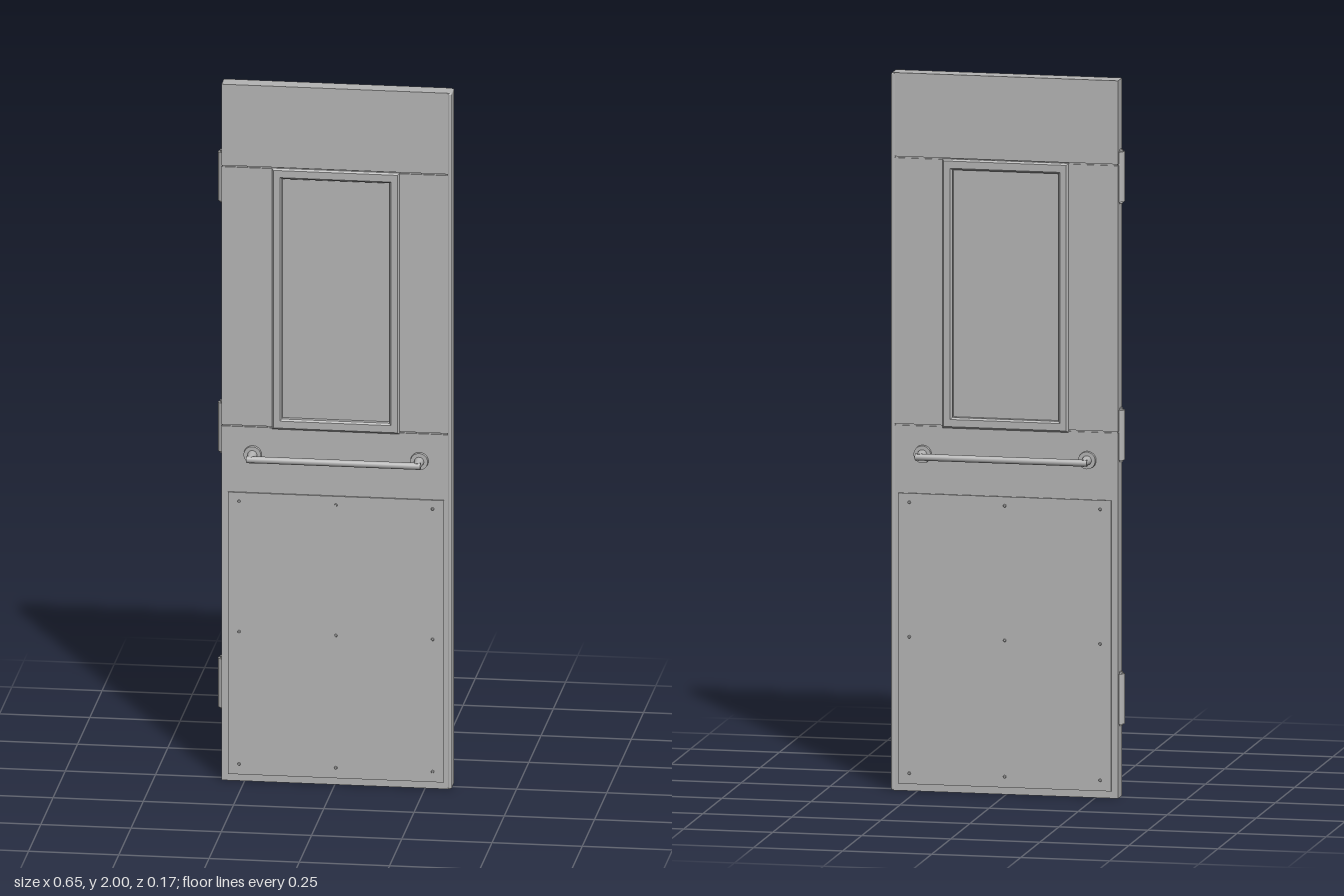
import * as THREE from 'three';
import { RoundedBoxGeometry } from 'three/addons/geometries/RoundedBoxGeometry.js';

const steel = new THREE.MeshStandardMaterial({ color: 0xb4b4b4 });
steel.name = 'painted steel';

function add(parent, name, geometry, x = 0, y = 0, z = 0) {
  const mesh = new THREE.Mesh(geometry, steel);
  mesh.name = name;
  mesh.position.set(x, y, z);
  parent.add(mesh);
  return mesh;
}

// box given by its limits
function slab(parent, name, x0, x1, y0, y1, z0, z1) {
  return add(parent, name, new THREE.BoxGeometry(x1 - x0, y1 - y0, z1 - z0),
    (x0 + x1) / 2, (y0 + y1) / 2, (z0 + z1) / 2);
}

// cylinder running along z from z0 to z1
function stud(parent, name, x, y, z0, z1, r0, r1 = r0, sides = 24) {
  const g = new THREE.CylinderGeometry(r1, r0, z1 - z0, sides).rotateX(Math.PI / 2);
  return add(parent, name, g, x, y, (z0 + z1) / 2);
}

// rectangular window frame with a bevelled edge, through the whole door
function windowFrame() {
  const b = 0.005;
  const rect = (shape, w, h) => shape.moveTo(-w, -h).lineTo(w, -h).lineTo(w, h).lineTo(-w, h).closePath();
  const shape = rect(new THREE.Shape(), 0.177 - b, 0.375 - b);
  shape.holes.push(rect(new THREE.Path(), 0.149 + b, 0.345 + b));
  return new THREE.ExtrudeGeometry(shape, {
    depth: 0.062 - 2 * b, bevelEnabled: true, bevelSize: b, bevelThickness: b, bevelSegments: 1,
  }).translate(0, 0, -0.031 + b);
}

// everything mounted on one face: kick plate, screws and pull handle
function faceFittings(name) {
  const face = new THREE.Group();
  face.name = name;
  slab(face, 'kickPlate', -0.299, 0.299, 0.02, 0.83, 0.024, 0.03);
  for (const x of [-0.268, 0, 0.268])
    for (const y of [0.05, 0.43, 0.805]) stud(face, 'screw', x, y, 0.029, 0.0325, 0.005, 0.003, 12);

  const handle = new THREE.Group();
  handle.name = 'pullHandle';
  handle.position.y = 0.94;
  face.add(handle);
  for (const s of [-1, 1]) {
    stud(handle, 'handleRose', s * 0.231, 0, 0.024, 0.034, 0.025, 0.024, 32);
    stud(handle, 'handlePost', s * 0.231, 0, 0.033, 0.08, 0.0135, 0.0095);
  }
  add(handle, 'handleBar', new THREE.CylinderGeometry(0.0095, 0.0095, 0.482, 24).rotateZ(Math.PI / 2), 0, 0, 0.0755);
  return face;
}

export function createModel() {
  const door = new THREE.Group();
  door.name = 'door';
  const L = -0.314, R = 0.318, T = 0.025;

  // door leaf in three bands, with narrow seams between them
  slab(door, 'lowerLeaf', L, R, 0, 1.018, -T, T);
  slab(door, 'upperLeaf', L, R, 1.767, 2, -T, T);
  slab(door, 'hingeStile', L, -0.174, 1.022, 1.763, -T, T);
  slab(door, 'latchStile', 0.178, R, 1.022, 1.763, -T, T);
  for (const y of [1.02, 1.765]) slab(door, 'seamCore', L + 0.003, R - 0.003, y - 0.003, y + 0.003, -0.021, 0.021);

  // window
  add(door, 'windowFrame', windowFrame(), 0.0025, 1.39, 0);
  slab(door, 'windowPane', -0.15, 0.155, 1.04, 1.74, -0.012, 0.012);

  // rounded strip along the latch edge
  add(door, 'edgeStrip', new RoundedBoxGeometry(0.012, 2, 0.052, 3, 0.005), 0.318, 1, 0);

  // hinge barrels
  for (const y of [0.275, 1.01, 1.73]) {
    add(door, 'hingeBarrel', new THREE.CylinderGeometry(0.016, 0.016, 0.14, 24), -0.311, y, 0);
    for (const s of [-1, 1])
      add(door, 'hingeTip', new THREE.CylinderGeometry(0.011, 0.011, 0.006, 16), -0.311, y + s * 0.072, 0);
  }

  // the same fittings on both faces
  const front = faceFittings('frontFittings');
  const back = faceFittings('backFittings');
  back.rotation.y = Math.PI;
  for (const face of [front, back]) {
    face.position.x = 0.0035;
    door.add(face);
  }
  return door;
}
